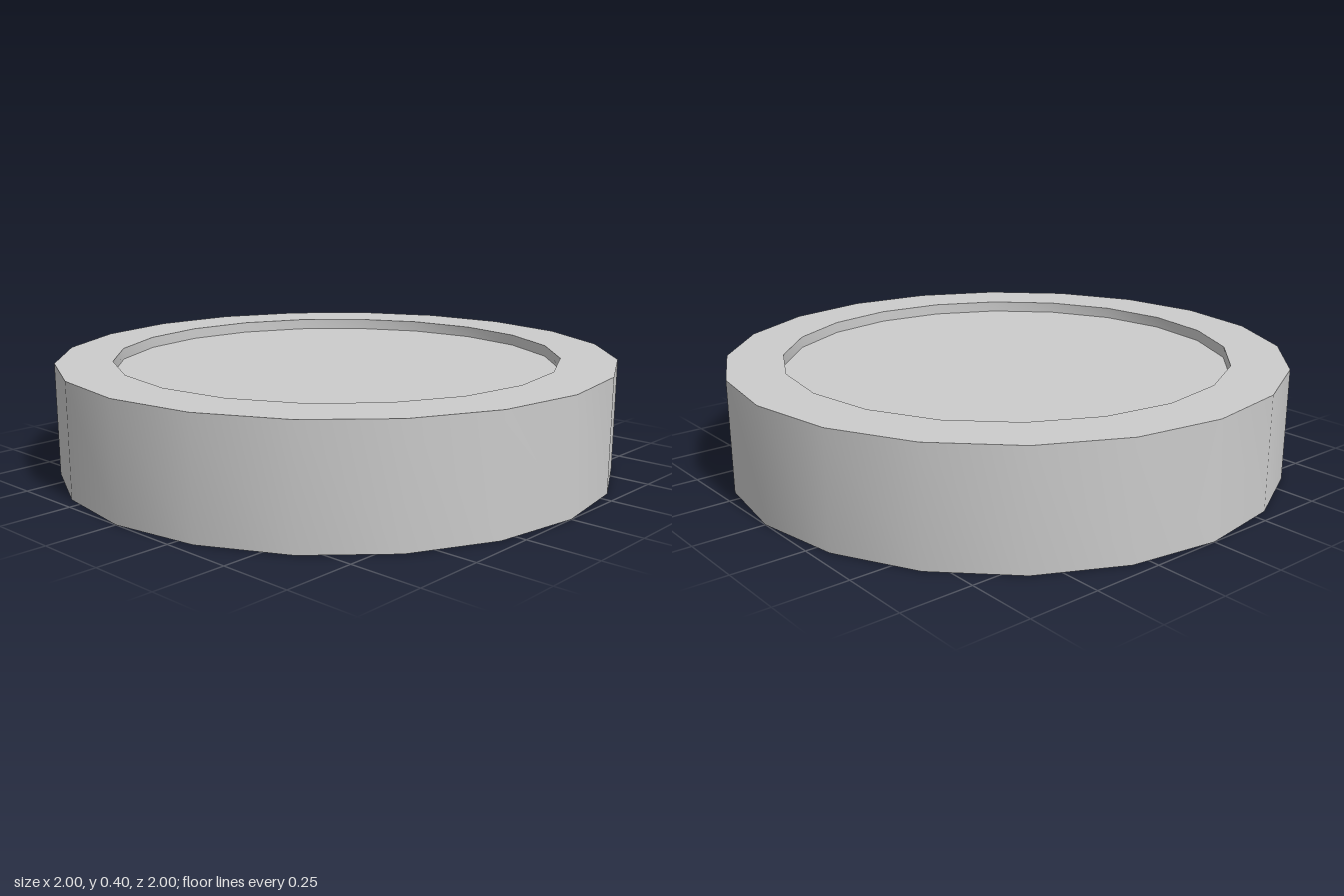
import * as THREE from 'three';
import { toCreasedNormals } from 'three/addons/utils/BufferGeometryUtils.js';

const SIDES = 20;
const RADIUS = 1, INNER = 0.8, HEIGHT = 0.4, RECESS = 0.04;

export function createModel() {
  const group = new THREE.Group();
  group.name = 'recessedDisc';
  const material = new THREE.MeshStandardMaterial({ color: 0xcccccc });

  // Raised outer rim: smooth around, sharp at the corners of its section
  const profile = [
    [INNER, RECESS], [INNER, 0], [RADIUS, 0],
    [RADIUS, HEIGHT], [INNER, HEIGHT], [INNER, HEIGHT - RECESS],
  ].map(([r, y]) => new THREE.Vector2(r, y));
  const rim = new THREE.Mesh(toCreasedNormals(new THREE.LatheGeometry(profile, SIDES), 0.6), material);
  rim.name = 'rim';
  group.add(rim);

  // Centre plate, sunk below the rim on both faces
  const plate = new THREE.Mesh(
    new THREE.CylinderGeometry(INNER, INNER, HEIGHT - 2 * RECESS, SIDES), material);
  plate.name = 'centrePlate';
  plate.position.y = HEIGHT / 2;
  group.add(plate);

  return group;
}
